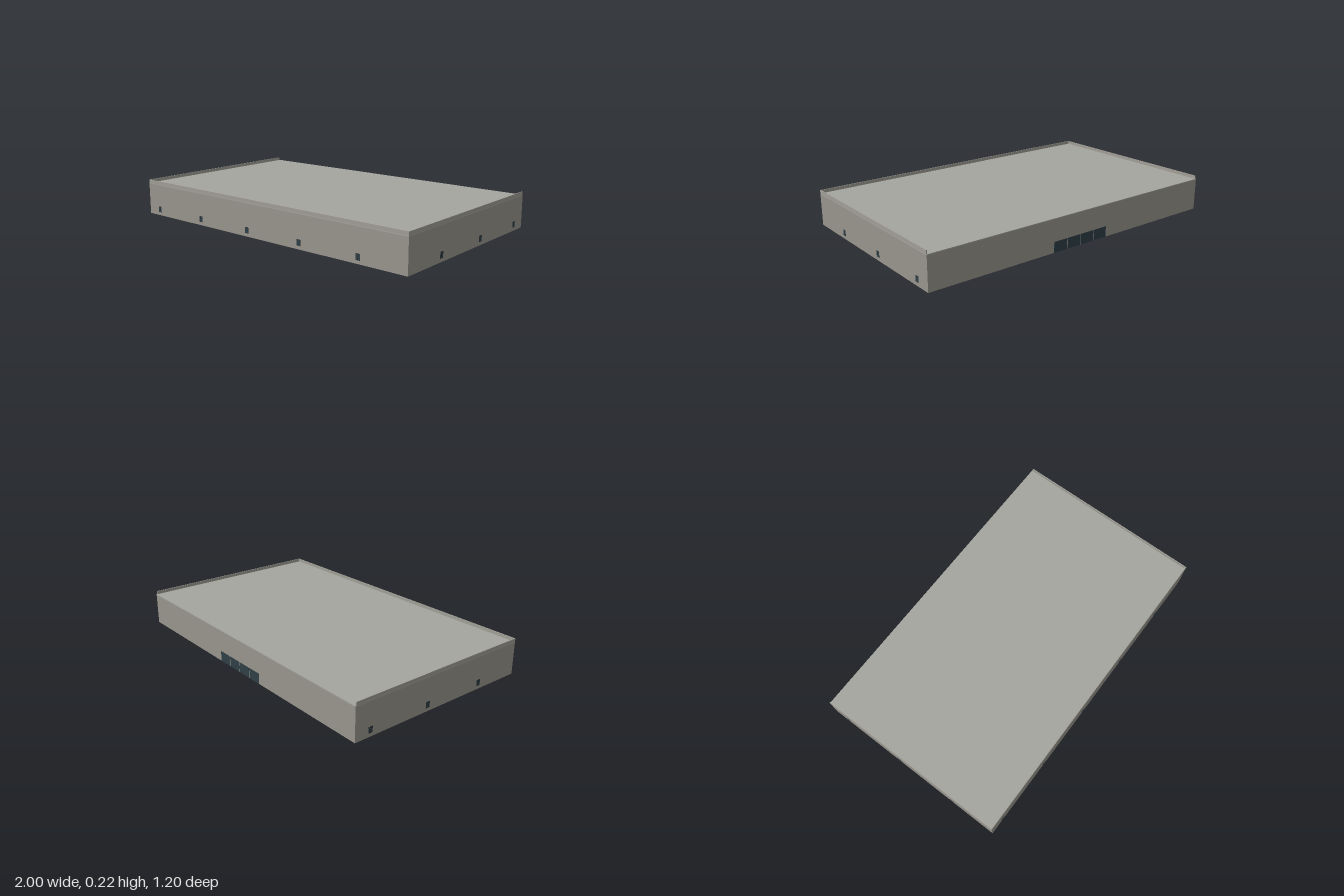
import * as THREE from 'three';

const W = 2, D = 1.2, T = 0.005;      // footprint and wall thickness
const ROOF = 0.2, TOP = 0.22;         // roof level and parapet top

export function createModel() {
  const model = new THREE.Group();
  model.name = 'warehouse';

  const paint = (color) => new THREE.MeshStandardMaterial({ color });
  const wallMat = paint(0x98958c);
  const parapetMat = paint(0xa09e96);
  const roofMat = paint(0xa5a59f);
  const glassMat = paint(0x2f3e46);
  const frameMat = paint(0x23292d);

  // Box given by size and centre
  function box(parent, name, mat, size, pos) {
    const mesh = new THREE.Mesh(new THREE.BoxGeometry(...size), mat);
    mesh.name = name;
    mesh.position.set(...pos);
    parent.add(mesh);
    return mesh;
  }

  // Walls, open underneath
  const wallH = ROOF - T, xWall = W / 2 - T / 2, zWall = D / 2 - T / 2;
  for (const [name, s] of [['front', 1], ['back', -1]]) {
    box(model, name + 'Wall', wallMat, [W, wallH, T], [0, wallH / 2, s * zWall]);
  }
  for (const [name, s] of [['left', 1], ['right', -1]]) {
    box(model, name + 'Wall', wallMat, [T, wallH, D - 2 * T], [s * xWall, wallH / 2, 0]);
  }

  // Flat roof
  box(model, 'roof', roofMat, [W, T, D], [0, ROOF - T / 2, 0]);

  // Parapet on the front and both sides, left off at the back
  const parH = TOP - ROOF, parY = (TOP + ROOF) / 2;
  box(model, 'frontParapet', parapetMat, [W, parH, T], [0, parY, zWall]);
  for (const [name, s] of [['left', 1], ['right', -1]]) {
    box(model, name + 'Parapet', parapetMat, [T, parH, D - 2 * T], [s * xWall, parY, 0]);
  }

  // Two-pane window running through the wall
  function addWindow(name, x, z, turn) {
    const win = new THREE.Group();
    win.name = name;
    box(win, 'windowFrame', frameMat, [0.028, 0.036, T + 0.0006], [0, 0, 0]);
    for (const s of [-1, 1]) {
      box(win, 'windowPane', glassMat, [0.0125, 0.034, T + 0.001], [s * 0.007, 0, 0]);
    }
    win.position.set(x, 0.038, z);
    win.rotation.y = turn;
    model.add(win);
  }
  for (const x of [-0.9, -0.5, -0.1, 0.3, 0.7]) addWindow('frontWindow', x, zWall, 0);
  for (const z of [0.3, -0.1, -0.5]) {
    addWindow('leftWindow', xWall, z, Math.PI / 2);
    addWindow('rightWindow', -xWall, z, -Math.PI / 2);
  }

  // Row of loading doors in the back wall
  const doors = new THREE.Group();
  doors.name = 'loadingDoors';
  for (let i = 0; i < 4; i++) {
    box(doors, 'loadingDoor', glassMat, [0.095, 0.064, T + 0.001], [(i - 1.5) * 0.1, 0.032, -zWall]);
  }
  model.add(doors);

  return model;
}
